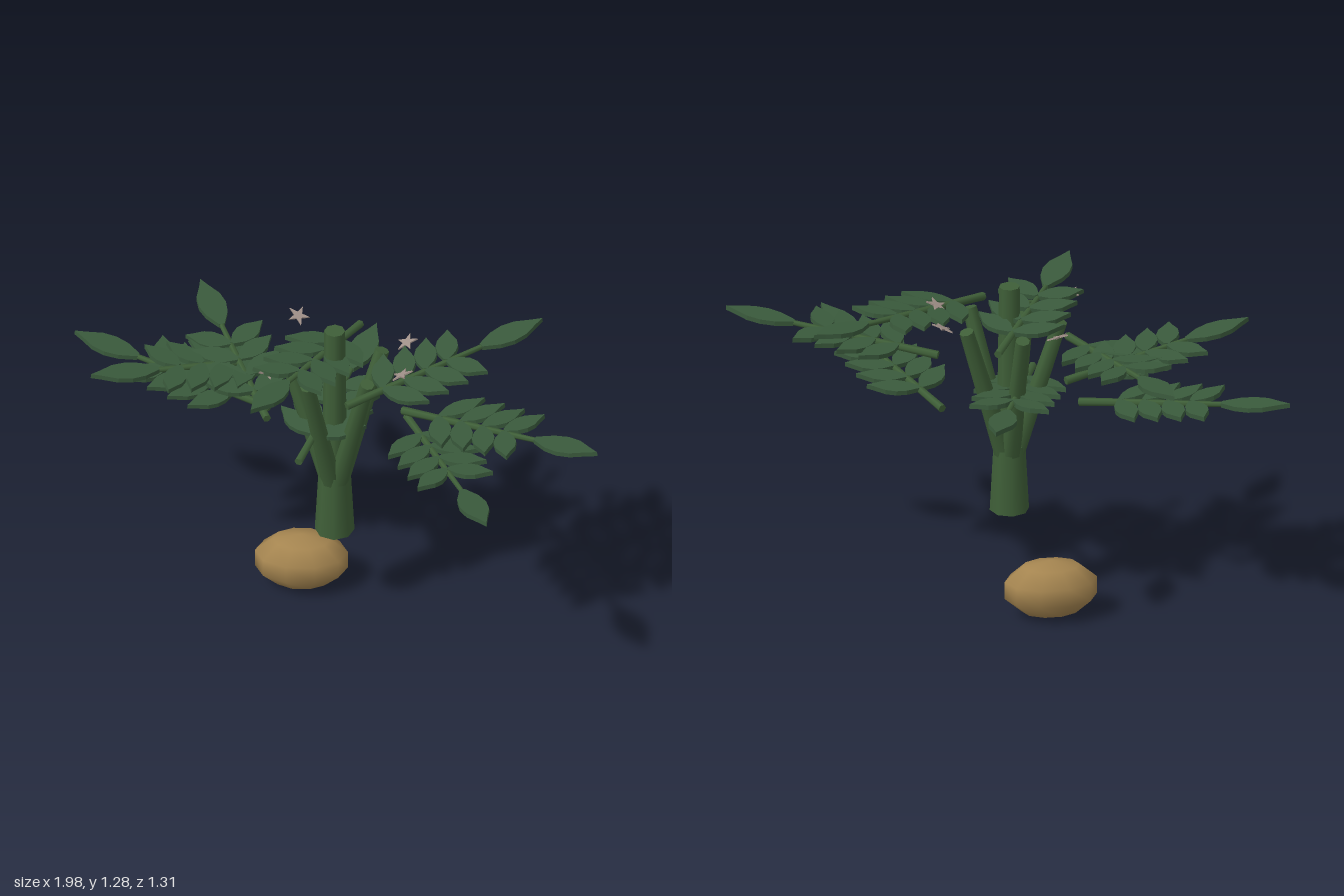
import * as THREE from 'three';

const V = (x, y, z) => new THREE.Vector3(x, y, z);
const stemMat = new THREE.MeshStandardMaterial({ color: 0x3f5f38 });
const leafMat = new THREE.MeshStandardMaterial({ color: 0x3a5a3c });
const tuberMat = new THREE.MeshStandardMaterial({ color: 0xa58550 });
const flowerMat = new THREE.MeshStandardMaterial({ color: 0xa09088 });

function add(parent, geometry, material, name) {
  const mesh = new THREE.Mesh(geometry, material);
  mesh.name = name;
  parent.add(mesh);
  return mesh;
}

// Tapered rod between two points
function rod(parent, a, b, r0, r1, sides, name) {
  const d = b.clone().sub(a);
  const mesh = add(parent, new THREE.CylinderGeometry(r1, r0, d.length(), sides), stemMat, name);
  mesh.position.copy(a).addScaledVector(d, 0.5);
  mesh.quaternion.setFromUnitVectors(V(0, 1, 0), d.normalize());
  return mesh;
}

// Thin flat plate from an outline, lying in the xz plane
function plate(points, depth) {
  const shape = new THREE.Shape(points.map(([x, y]) => new THREE.Vector2(x, y)));
  return new THREE.ExtrudeGeometry(shape, { depth, bevelEnabled: false })
    .translate(0, 0, -depth / 2).rotateX(-Math.PI / 2);
}

// Pointed leaf blade growing along +x
function bladeGeometry(length, width) {
  const half = [[0.02, 0.1], [0.25, 0.4], [0.45, 0.5], [0.65, 0.43], [0.85, 0.17]];
  const pts = half.map(([t, w]) => [t * length, -w * width]);
  pts.push([length, 0], ...half.map(([t, w]) => [t * length, w * width]).reverse());
  return plate(pts, 0.018);
}

// Compound leaf: stalk, four leaflet pairs and one end leaflet
function compoundLeaf(base, tip) {
  const g = new THREE.Group();
  g.name = 'compoundLeaf';
  const dir = tip.clone().sub(base);
  const length = dir.length();
  dir.normalize();
  const side = dir.clone().cross(V(0, 1, 0)).normalize();
  const up = side.clone().cross(dir);
  g.quaternion.setFromRotationMatrix(new THREE.Matrix4().makeBasis(dir, up, side));
  g.position.copy(base);

  rod(g, V(0, 0, 0), V(length - 0.08, 0, 0), 0.016, 0.008, 6, 'leafStalk');
  const end = add(g, bladeGeometry(0.27, 0.105), leafMat, 'endLeaflet');
  end.position.x = length - 0.27;
  for (let i = 0; i < 4; i++) {
    for (const s of [-1, 1]) {
      const leaflet = add(g, bladeGeometry(0.2 - i * 0.008, 0.085), leafMat, 'leaflet');
      leaflet.position.set(0.155 + i * 0.092, 0.004, 0);
      leaflet.rotation.set(0, s * 1.02, 0);
    }
  }
  return g;
}

export function createModel() {
  const root = new THREE.Group();
  root.name = 'tuberPlant';
  const cx = -0.015, cz = -0.06;

  // Tuber
  const tuber = add(root, new THREE.SphereGeometry(1, 10, 5), tuberMat, 'tuber');
  tuber.scale.set(0.182, 0.113, 0.12);
  tuber.position.set(-0.145, 0.115, -0.22);

  // Trunk, centre stem and five spreading stems
  rod(root, V(cx, 0.375, cz), V(cx, 0.64, cz), 0.074, 0.06, 8, 'trunk');
  rod(root, V(cx, 0.6, cz), V(cx, 1.285, cz), 0.048, 0.039, 8, 'centreStem');
  for (let i = 0; i < 5; i++) {
    const a = THREE.MathUtils.degToRad(-24 + 72 * i);
    const c = Math.cos(a), s = Math.sin(a);
    rod(root, V(cx + c * 0.02, 0.6, cz + s * 0.02), V(cx + c * 0.19, 1.145, cz + s * 0.19),
      0.038, 0.027, 8, 'sideStem');
  }

  // Compound leaves in three tiers: base point, tip point
  const leaves = [
    [-0.26, 0.845, -0.17, -1.0, 0.925, -0.5],
    [-0.14, 0.845, 0.17, 0.12, 0.93, -0.59],
    [0.25, 0.84, -0.14, 0.58, 0.93, 0.65],
    [-0.19, 0.99, -0.29, -0.92, 1.07, -0.03],
    [-0.26, 0.99, 0.1, -0.54, 1.06, -0.66],
    [0.24, 0.985, 0.02, 0.98, 1.07, 0.38],
    [0.07, 1.13, -0.32, -0.31, 1.21, 0.36],
    [0.04, 1.13, 0.2, 0.75, 1.22, -0.25],
  ];
  for (const [a, b, c, d, e, f] of leaves) root.add(compoundLeaf(V(a, b, c), V(d, e, f)));

  // Small five-pointed flowers, tilted towards the centre
  const star = Array.from({ length: 10 }, (_, i) => {
    const r = i % 2 ? 0.016 : 0.043, a = i * Math.PI / 5;
    return [r * Math.cos(a), r * Math.sin(a)];
  });
  for (const [x, z] of [[0.25, -0.15], [0.24, 0.055], [-0.26, 0.065], [-0.16, -0.3]]) {
    const flower = add(root, plate(star, 0.006), flowerMat, 'flower');
    flower.position.set(x, 1.175, z);
    const inward = V(cx - x, 0, cz - z).normalize().multiplyScalar(0.45);
    flower.quaternion.setFromUnitVectors(V(0, 1, 0), inward.setY(1).normalize());
  }
  return root;
}
